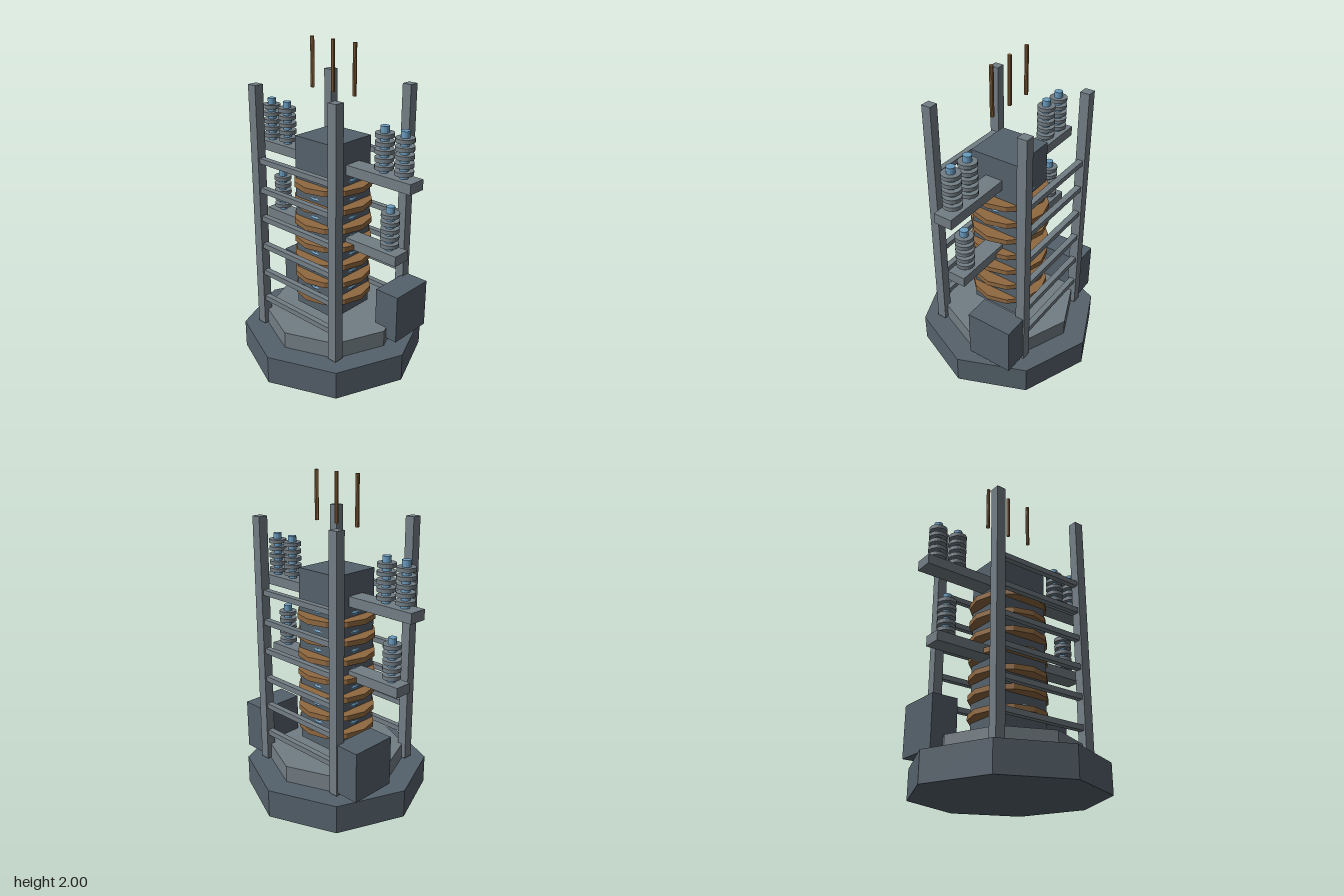
import * as THREE from 'three';

const mat = (color) => new THREE.MeshStandardMaterial({ color, flatShading: true });

export function createModel() {
  const model = new THREE.Group();
  model.name = 'coilTower';
  const dark = mat(0x55616b), steel = mat(0x727d84), copper = mat(0x8f6840), blue = mat(0x6a9cc0);

  const add = (name, geometry, material, x, y, z, parent = model) => {
    const mesh = new THREE.Mesh(geometry, material);
    mesh.name = name;
    mesh.position.set(x, y, z);
    parent.add(mesh);
    return mesh;
  };
  const box = (name, w, h, d, material, x, y, z) =>
    add(name, new THREE.BoxGeometry(w, h, d), material, x, y, z);
  const cyl = (name, r, h, sides, material, x, y, z, parent) =>
    add(name, new THREE.CylinderGeometry(r, r, h, sides), material, x, y, z, parent);

  // Stepped octagonal plinth
  cyl('base', 0.575, 0.18, 8, dark, 0, 0.09, 0);
  cyl('baseStep', 0.43, 0.105, 8, steel, 0, 0.2325, 0);

  // Square core with copper windings and thin blue rings
  box('core', 0.316, 1.115, 0.316, dark, 0, 0.8875, 0);
  for (let i = 0; i < 7; i++) {
    const y = 0.45 + i * 0.119;
    cyl('copperCoil', 0.24, 0.033, 12, copper, 0, y, 0);
    const ring = add('coolingRing', new THREE.TorusGeometry(0.156, 0.012, 6, 12), blue, 0, y + 0.038, 0);
    ring.rotation.x = Math.PI / 2;
  }

  // Corner posts
  for (const x of [-0.312, 0.312])
    for (const z of [-0.312, 0.312]) box('post', 0.06, 1.56, 0.06, steel, x, 0.97, z);

  // Cross rails on the front and back
  for (let i = 0; i < 6; i++)
    for (const z of [-0.312, 0.312]) box('rail', 0.6, 0.033, 0.036, steel, 0, 0.375 + i * 0.185, z);

  // Beams that carry the insulators
  box('upperBeam', 1.24, 0.062, 0.115, steel, 0, 1.28, 0);
  box('lowerBeam', 1.076, 0.062, 0.115, steel, 0, 0.82, 0);

  // Ribbed insulators: blue rod with stacked discs
  const insulator = (x, y) => {
    const group = new THREE.Group();
    group.name = 'insulator';
    group.position.set(x, y, 0);
    cyl('rod', 0.026, 0.27, 12, blue, 0, 0.135, 0, group);
    for (let i = 0; i < 5; i++) cyl('disc', 0.055, 0.024, 20, steel, 0, 0.034 + i * 0.0465, 0, group);
    model.add(group);
  };
  for (const s of [-1, 1]) {
    insulator(s * 0.39, 1.31);
    insulator(s * 0.53, 1.31);
    insulator(s * 0.447, 0.85);
    // Side cabinet, set toward the back
    box('cabinet', 0.164, 0.312, 0.294, dark, s * 0.408, 0.366, -0.187);
  }

  // Copper rods above the core
  for (const x of [-0.164, 0, 0.164]) cyl('topRod', 0.012, 0.295, 10, copper, x, 1.8525, 0);

  return model;
}
